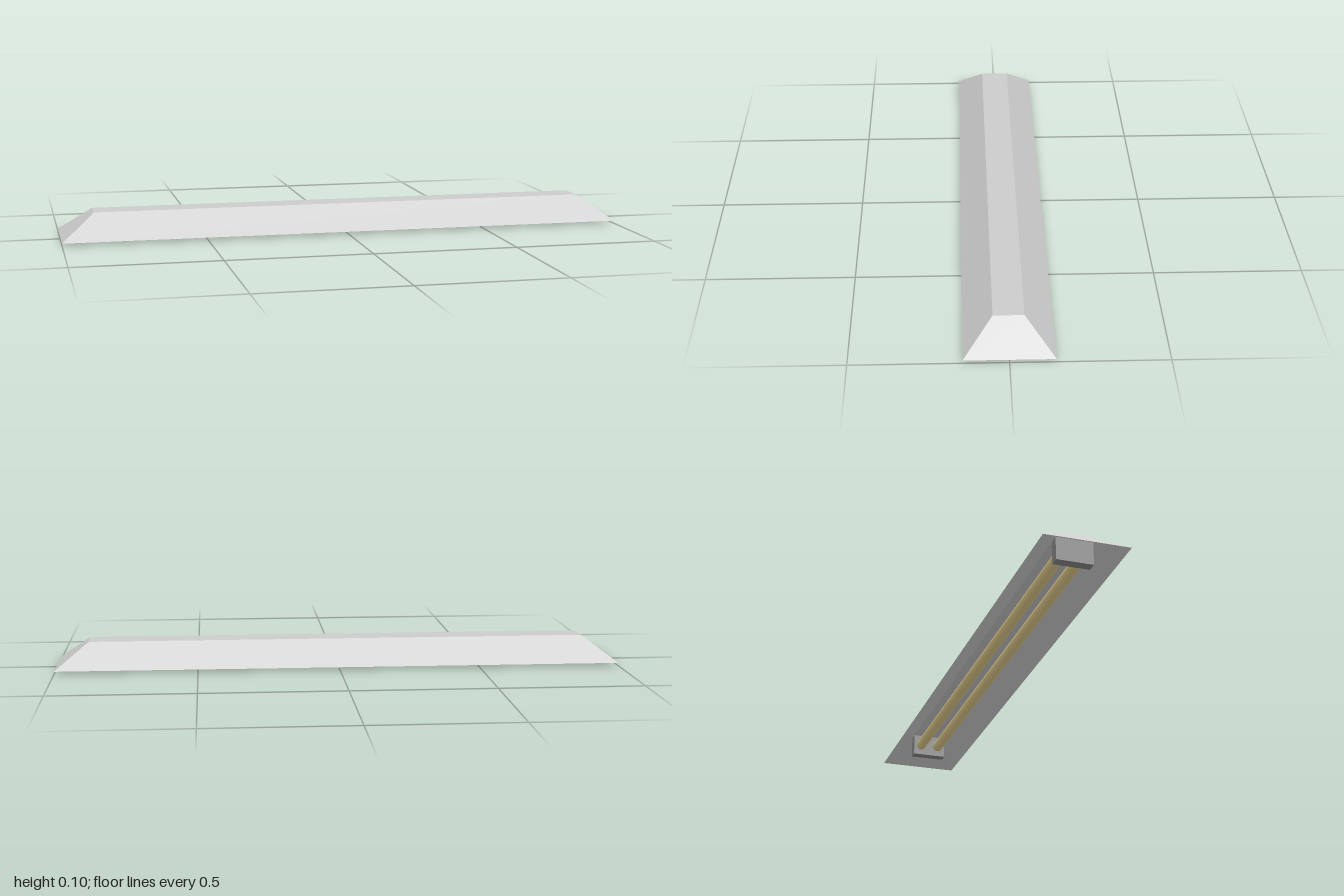
import * as THREE from 'three';

const BASE_Y = 0.01, TOP_Y = 0.097;

// Open-bottomed tapered shell: a box with its top pulled in and its floor removed
function shadeGeometry() {
  const h = TOP_Y - BASE_Y;
  const geo = new THREE.BoxGeometry(2, h, 0.29);
  const pos = geo.attributes.position;
  for (let i = 0; i < pos.count; i++) {
    if (pos.getY(i) > 0) {
      pos.setX(i, Math.sign(pos.getX(i)) * 0.885);
      pos.setZ(i, Math.sign(pos.getZ(i)) * 0.05);
    }
  }
  const index = Array.from(geo.index.array);
  index.splice(18, 6); // floor face
  geo.setIndex(index);
  geo.clearGroups();
  geo.translate(0, BASE_Y + h / 2, 0);
  geo.computeVertexNormals();
  return geo;
}

export function createModel() {
  const model = new THREE.Group();
  model.name = 'ceilingLight';

  const shadeMat = new THREE.MeshStandardMaterial({ color: 0xcccccc, side: THREE.DoubleSide });
  shadeMat.name = 'light grey shade';
  const socketMat = new THREE.MeshStandardMaterial({ color: 0x8a8a8a });
  socketMat.name = 'mid grey socket';
  const tubeMat = new THREE.MeshStandardMaterial({ color: 0xe6d08e });
  tubeMat.name = 'warm tube';

  const add = (name, geo, mat, x, y, z) => {
    const mesh = new THREE.Mesh(geo, mat);
    mesh.name = name;
    mesh.position.set(x, y, z);
    model.add(mesh);
    return mesh;
  };

  add('shade', shadeGeometry(), shadeMat, 0, 0, 0);

  // End sockets holding the tubes
  const midX = -0.005, midZ = 0.003;
  const socketGeo = new THREE.BoxGeometry(0.035, 0.08, 0.126);
  for (const [side, name] of [[1, 'leftSocket'], [-1, 'rightSocket']]) {
    add(name, socketGeo, socketMat, midX + side * 0.857, 0.04, midZ);
  }

  // Twin lamp tubes
  const tubeGeo = new THREE.CylinderGeometry(0.019, 0.019, 1.69, 24);
  tubeGeo.rotateZ(Math.PI / 2);
  for (const [side, name] of [[1, 'frontTube'], [-1, 'backTube']]) {
    add(name, tubeGeo, tubeMat, midX, 0.04, midZ + side * 0.034);
  }

  return model;
}
